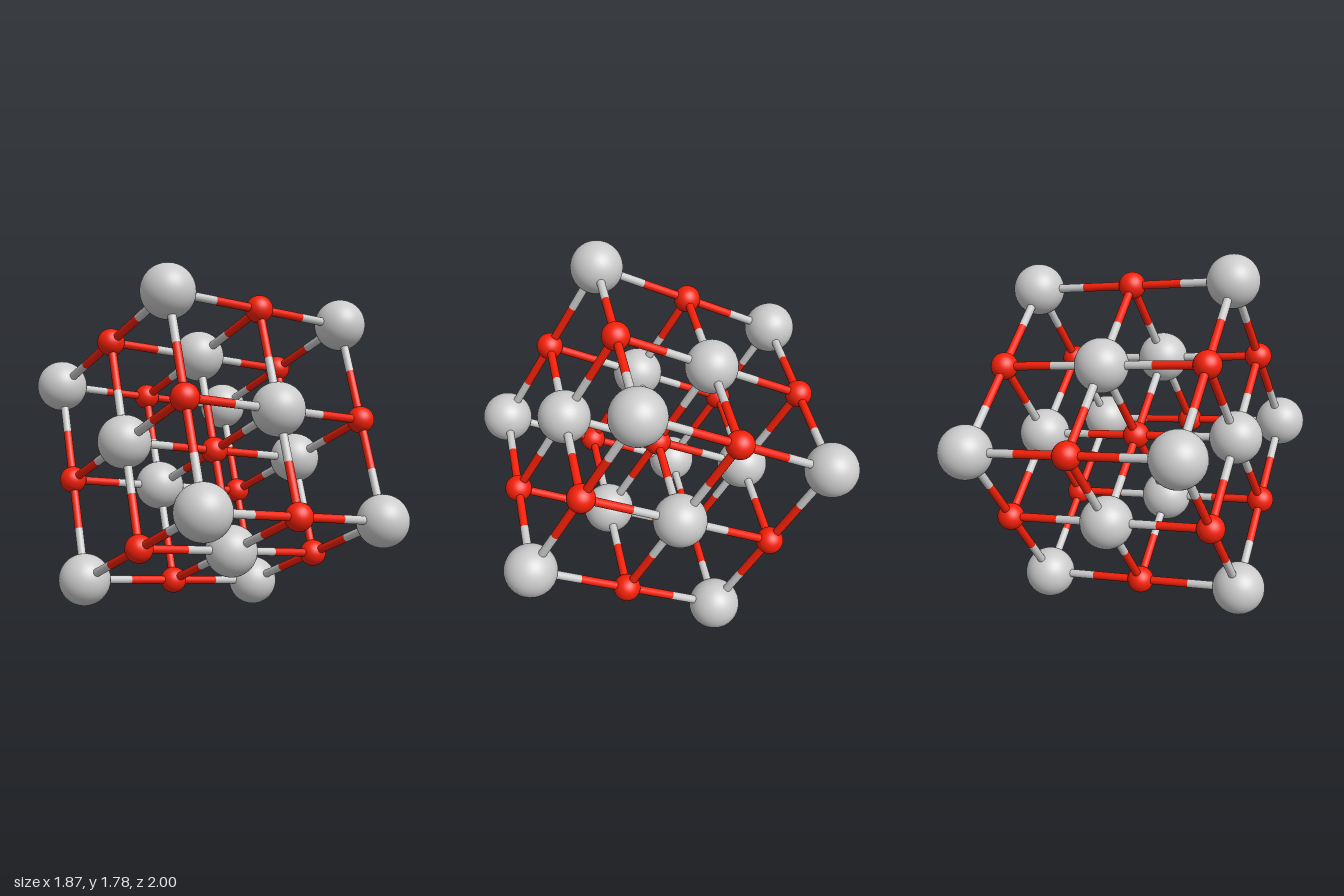
import * as THREE from 'three';

const STEP = 0.511; // distance between neighbouring atoms
const LARGE = 0.125, SMALL = 0.065, BOND = 0.02;

export function createModel() {
  const model = new THREE.Group();
  model.name = 'crystalLattice';

  const grey = new THREE.MeshStandardMaterial({ color: 0xcccccc });
  const red = new THREE.MeshStandardMaterial({ color: 0xf62008 });
  const largeSphere = new THREE.SphereGeometry(LARGE, 40, 28);
  const smallSphere = new THREE.SphereGeometry(SMALL, 32, 20);
  const halfBond = new THREE.CylinderGeometry(BOND, BOND, STEP / 2, 16);

  // Tilted axes of the cubic cell
  const axes = [
    new THREE.Vector3(0.757, -0.165, -0.675),
    new THREE.Vector3(-0.653, -0.475, -0.62),
    new THREE.Vector3(0.214, -0.89, 0.455),
  ].map((a) => a.normalize());
  const up = new THREE.Vector3(0, 1, 0);
  const turns = axes.map((a) => new THREE.Quaternion().setFromUnitVectors(up, a));

  const position = (cell) => {
    const p = new THREE.Vector3(0, 0.89, 0);
    axes.forEach((a, n) => p.addScaledVector(a, cell[n] * STEP));
    return p;
  };
  // Corners and face centres are grey; edge middles and the centre are red
  const isGrey = (cell) => Math.abs(cell[0] + cell[1] + cell[2]) % 2 === 1;

  const add = (name, geometry, material, p) => {
    const mesh = new THREE.Mesh(geometry, material);
    mesh.name = name;
    mesh.position.copy(p);
    model.add(mesh);
    return mesh;
  };

  for (let i = -1; i <= 1; i++) for (let j = -1; j <= 1; j++) for (let k = -1; k <= 1; k++) {
    const cell = [i, j, k];
    const p = position(cell);
    const big = isGrey(cell);

    // Atom
    add(big ? 'largeAtom' : 'smallAtom', big ? largeSphere : smallSphere, big ? grey : red, p);

    // Bonds to the next atom along each axis, coloured half and half
    axes.forEach((a, n) => {
      if (cell[n] === 1) return;
      [0.25, 0.75].forEach((t, half) => {
        const useGrey = half === 0 ? big : !big;
        const centre = p.clone().addScaledVector(a, t * STEP);
        add(useGrey ? 'greyHalfBond' : 'redHalfBond', halfBond, useGrey ? grey : red, centre)
          .quaternion.copy(turns[n]);
      });
    });
  }
  return model;
}
